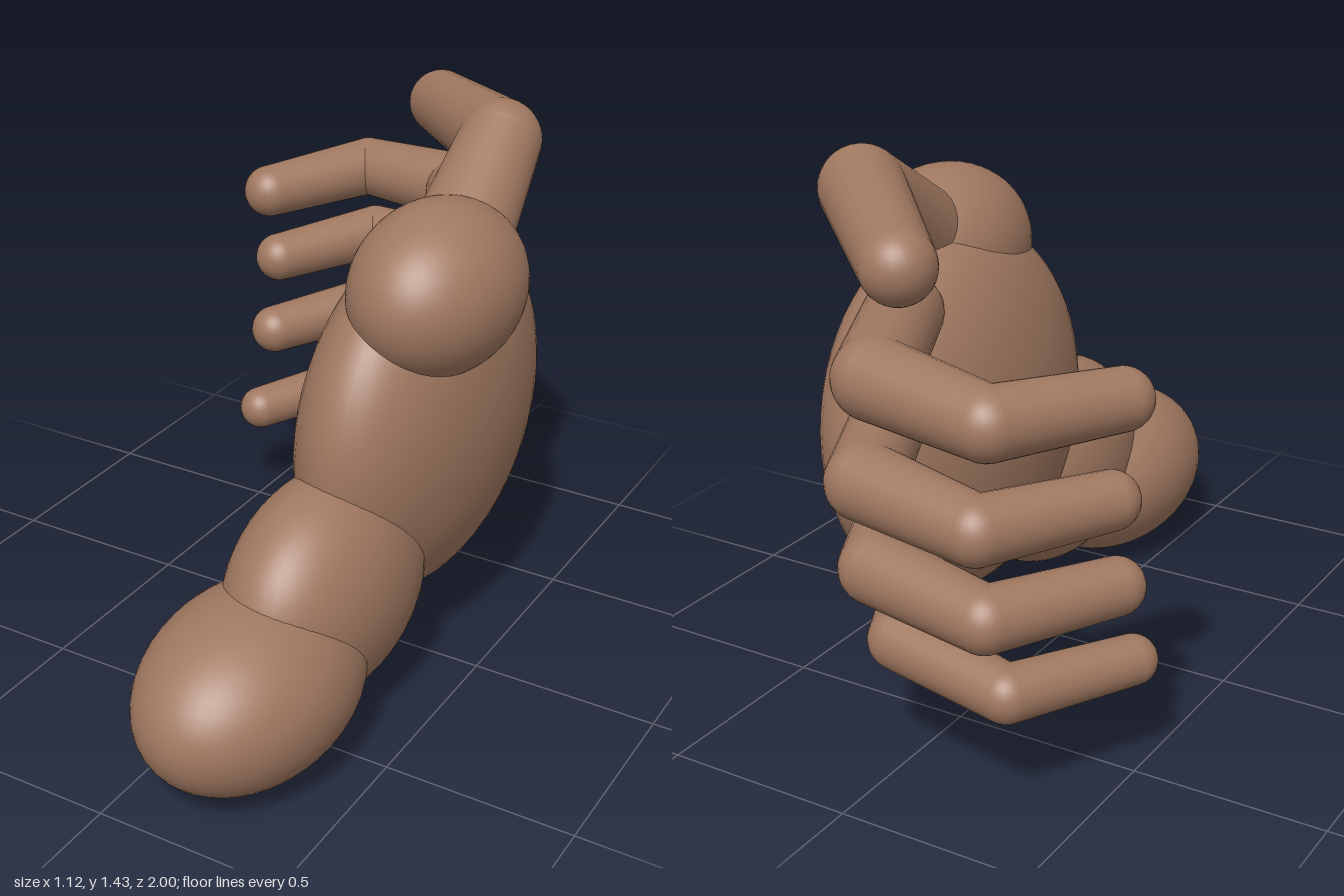
import * as THREE from 'three';

const skin = new THREE.MeshStandardMaterial({ color: 0xa07860 });
const UP = new THREE.Vector3(0, 1, 0);

function ellipsoid(name, center, radii, tilt = 0) {
  const mesh = new THREE.Mesh(new THREE.SphereGeometry(1, 48, 32), skin);
  mesh.name = name;
  mesh.position.set(...center);
  mesh.scale.set(...radii);
  mesh.rotation.z = tilt;
  return mesh;
}

// Round-ended tapering limb through joints given as [x, y, z, radius]
function digit(name, joints) {
  const group = new THREE.Group();
  group.name = name;
  joints.forEach(([x, y, z, r], i) => {
    const knuckle = new THREE.Mesh(new THREE.SphereGeometry(r, 28, 20), skin);
    knuckle.name = i === joints.length - 1 ? 'fingertip' : 'knuckle';
    knuckle.position.set(x, y, z);
    group.add(knuckle);
    if (i === 0) return;
    const [px, py, pz, pr] = joints[i - 1];
    const from = new THREE.Vector3(px, py, pz);
    const to = new THREE.Vector3(x, y, z);
    const dir = to.clone().sub(from);
    const bone = new THREE.Mesh(new THREE.CylinderGeometry(r, pr, dir.length(), 28, 1, true), skin);
    bone.name = 'fingerSegment';
    bone.position.copy(from).add(to).multiplyScalar(0.5);
    bone.quaternion.setFromUnitVectors(UP, dir.normalize());
    group.add(bone);
  });
  return group;
}

export function createModel() {
  const hand = new THREE.Group();
  hand.name = 'hand';

  // Palm, thumb mound, wrist and forearm stump
  hand.add(
    ellipsoid('palm', [0.255, 0.67, -0.105], [0.243, 0.5, 0.497], -0.05),
    ellipsoid('thumbMound', [0.35, 1.07, 0], [0.21, 0.22, 0.28]),
    ellipsoid('wrist', [0.23, 0.365, 0.34], [0.212, 0.297, 0.36]),
    ellipsoid('forearm', [0.2, 0.238, 0.64], [0.253, 0.235, 0.36])
  );

  // Curled fingers: name, base y, tip y, z offset, base radius, tip radius
  const fingers = [
    ['indexFinger', 1.015, 0.985, 0.05, 0.1, 0.074],
    ['middleFinger', 0.785, 0.76, 0, 0.094, 0.07],
    ['ringFinger', 0.558, 0.535, 0.03, 0.09, 0.07],
    ['littleFinger', 0.335, 0.305, 0.115, 0.08, 0.062]
  ];
  for (const [name, y0, y1, dz, r0, r1] of fingers) {
    const mix = (a, b, t) => a + (b - a) * t;
    hand.add(digit(name, [
      [0.22, y0, -0.43 + dz, r0],
      [0.01, y0, -0.85 + dz, r0 * 0.98],
      [-0.33, mix(y0, y1, 0.55), -0.92 + dz, mix(r0, r1, 0.6)],
      [-0.49, y1, -0.615 + dz, r1]
    ]));
  }

  // Thumb
  hand.add(digit('thumb', [
    [0.335, 1.13, -0.13, 0.13],
    [0.31, 1.322, -0.41, 0.108],
    [-0.04, 1.272, -0.765, 0.09]
  ]));

  return hand;
}
